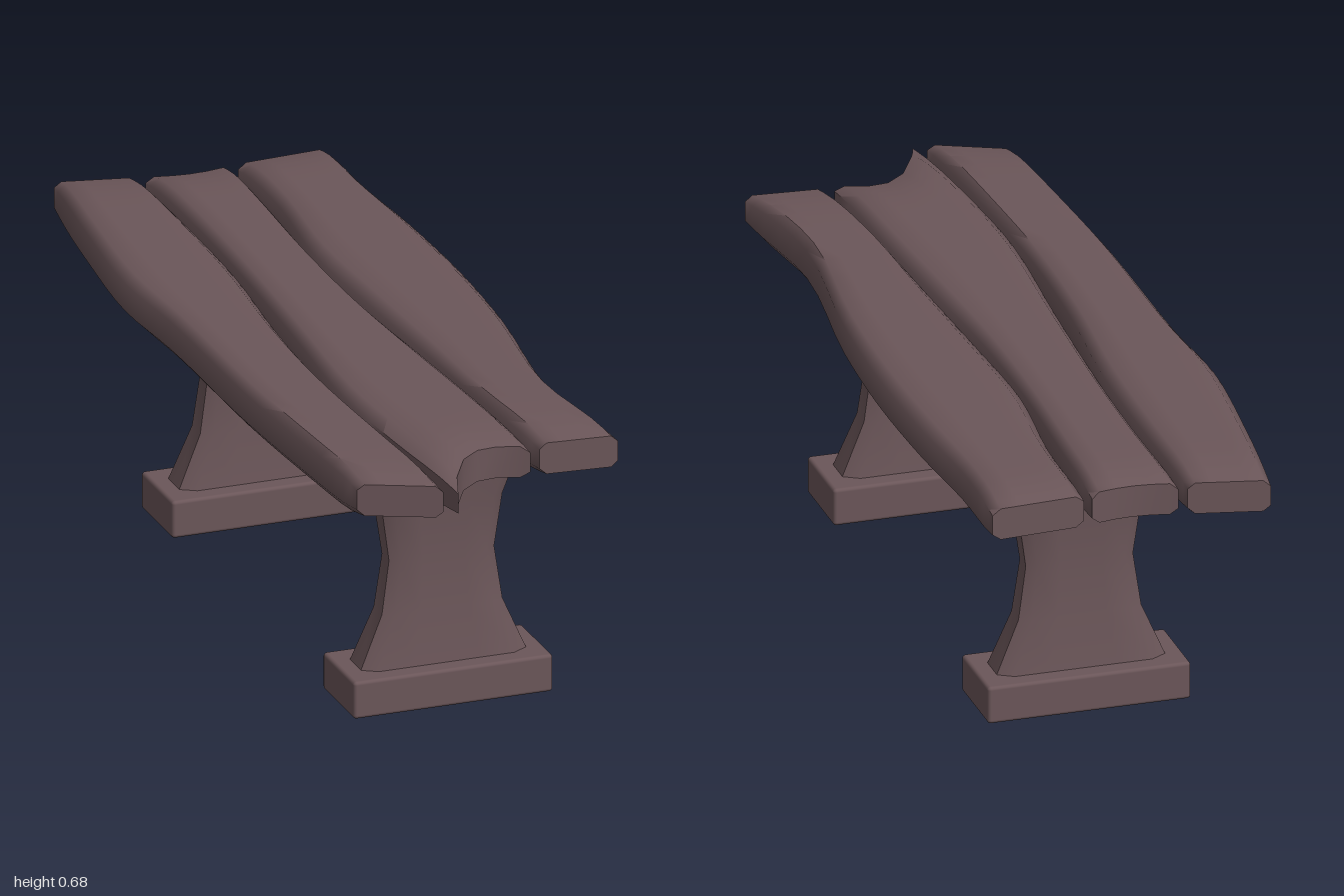
import * as THREE from 'three';
import { toCreasedNormals } from 'three/addons/utils/BufferGeometryUtils.js';
import { RoundedBoxGeometry } from 'three/addons/geometries/RoundedBoxGeometry.js';

const material = new THREE.MeshStandardMaterial({ color: 0x6b5659 });

// Skin closed rings (first half runs one way, second half mirrors it back) and cap both ends
function loft(rings) {
  const n = rings[0].length, last = rings.length - 1, index = [];
  const quad = (a, b, c, d) => index.push(a, b, c, a, c, d);
  for (let i = 0; i < last; i++) {
    for (let j = 0; j < n; j++) {
      const k = (j + 1) % n;
      quad(i * n + j, (i + 1) * n + j, (i + 1) * n + k, i * n + k);
    }
  }
  const o = last * n;
  for (let j = 0; j < n / 2 - 1; j++) {
    quad(j, j + 1, n - 2 - j, n - 1 - j);
    quad(o + n - 1 - j, o + n - 2 - j, o + j + 1, o + j);
  }
  const geometry = new THREE.BufferGeometry();
  geometry.setAttribute('position', new THREE.Float32BufferAttribute(rings.flat(2), 3));
  geometry.setIndex(index);
  return toCreasedNormals(geometry, 0.9);
}

// Points across a chamfered section: [position across, height], upper side then lower side
const upper = [[0, 0.62], [0.09, 1], [0.3, 1], [0.5, 1], [0.7, 1], [0.91, 1], [1, 0.62]];
const section = [...upper, ...upper.map(([u, v]) => [u, -v]).reverse()];

const curve = pts => new THREE.CatmullRomCurve3(pts.map(([x, z]) => new THREE.Vector3(x, 0, z)), false, 'centripetal');

// Wavy board between two edge curves; the ends thin out and may be notched
function plank(name, leftEdge, rightEdge, backNotch = 0, frontNotch = () => 0) {
  const left = curve(leftEdge), right = curve(rightEdge), rings = [];
  const ts = [0, 0.02, 0.05, 0.09];
  const stations = [...ts];
  for (let i = 1; i < 20; i++) stations.push(0.09 + 0.82 * i / 20);
  stations.push(...ts.map(t => 1 - t).reverse());
  for (const t of stations) {
    const L = left.getPoint(t), R = right.getPoint(t);
    const end = Math.min(1, Math.min(t, 1 - t) / 0.09);
    const half = 0.037 + 0.0155 * (1 - (1 - end) ** 2);
    const nearBack = Math.max(0, 1 - t / 0.2), nearFront = Math.max(0, 1 - (1 - t) / 0.3);
    rings.push(section.map(([u, v]) => {
      const p = L.clone().lerp(R, u);
      const dz = backNotch * Math.sin(Math.PI * u) * nearBack + frontNotch(u) * nearFront;
      return [p.x, 0.6225 + v * half, p.z + dz];
    }));
  }
  const mesh = new THREE.Mesh(loft(rings), material);
  mesh.name = name;
  return mesh;
}

// Waisted pillar on a block foot
function support(name, z) {
  const group = new THREE.Group();
  group.name = name;
  // height, half width, half depth
  const profile = [
    [0.07, 0.2, 0.058], [0.09, 0.194, 0.055], [0.21, 0.142, 0.042], [0.335, 0.124, 0.036],
    [0.46, 0.142, 0.042], [0.575, 0.185, 0.055], [0.6, 0.195, 0.058],
  ];
  const rings = profile.map(([y, w, d]) => section.map(([u, v]) => [(u * 2 - 1) * w, y, -v * d]));
  const pillar = new THREE.Mesh(loft(rings), material);
  pillar.name = 'pillar';
  const foot = new THREE.Mesh(new RoundedBoxGeometry(0.47, 0.088, 0.196, 2, 0.008), material);
  foot.name = 'foot';
  foot.position.y = 0.044;
  group.add(pillar, foot);
  group.position.set(0.013, 0, z);
  return group;
}

export function createModel() {
  const model = new THREE.Group();
  model.name = 'plankBench';

  // Seat boards, edges listed from back to front as [x, z]
  model.add(plank('rightPlank',
    [[-0.3, -1], [-0.335, -0.7], [-0.36, -0.4], [-0.345, -0.15], [-0.34, 0.3], [-0.32, 0.65], [-0.302, 0.89]],
    [[-0.12, -0.96], [-0.115, -0.7], [-0.12, -0.35], [-0.15, 0], [-0.16, 0.3], [-0.147, 0.65], [-0.127, 0.97]]));

  model.add(plank('middlePlank',
    [[-0.1, -0.955], [-0.095, -0.7], [-0.1, -0.4], [-0.12, 0], [-0.145, 0.4], [-0.13, 0.7], [-0.1, 0.99]],
    [[0.098, -0.95], [0.09, -0.7], [0.078, -0.4], [0.08, -0.1], [0.1, 0.2], [0.12, 0.5], [0.135, 0.82]],
    0.015,
    u => -0.11 * Math.sin(Math.PI * Math.pow(u, 0.8))));

  model.add(plank('leftPlank',
    [[0.118, -0.955], [0.118, -0.7], [0.09, -0.4], [0.1, -0.1], [0.115, 0.2], [0.13, 0.5], [0.16, 0.81]],
    [[0.335, -0.97], [0.333, -0.75], [0.35, -0.5], [0.356, -0.2], [0.342, 0.1], [0.298, 0.52], [0.34, 0.825]]));

  // Two supports
  model.add(support('frontSupport', 0.565), support('backSupport', -0.565));
  return model;
}
